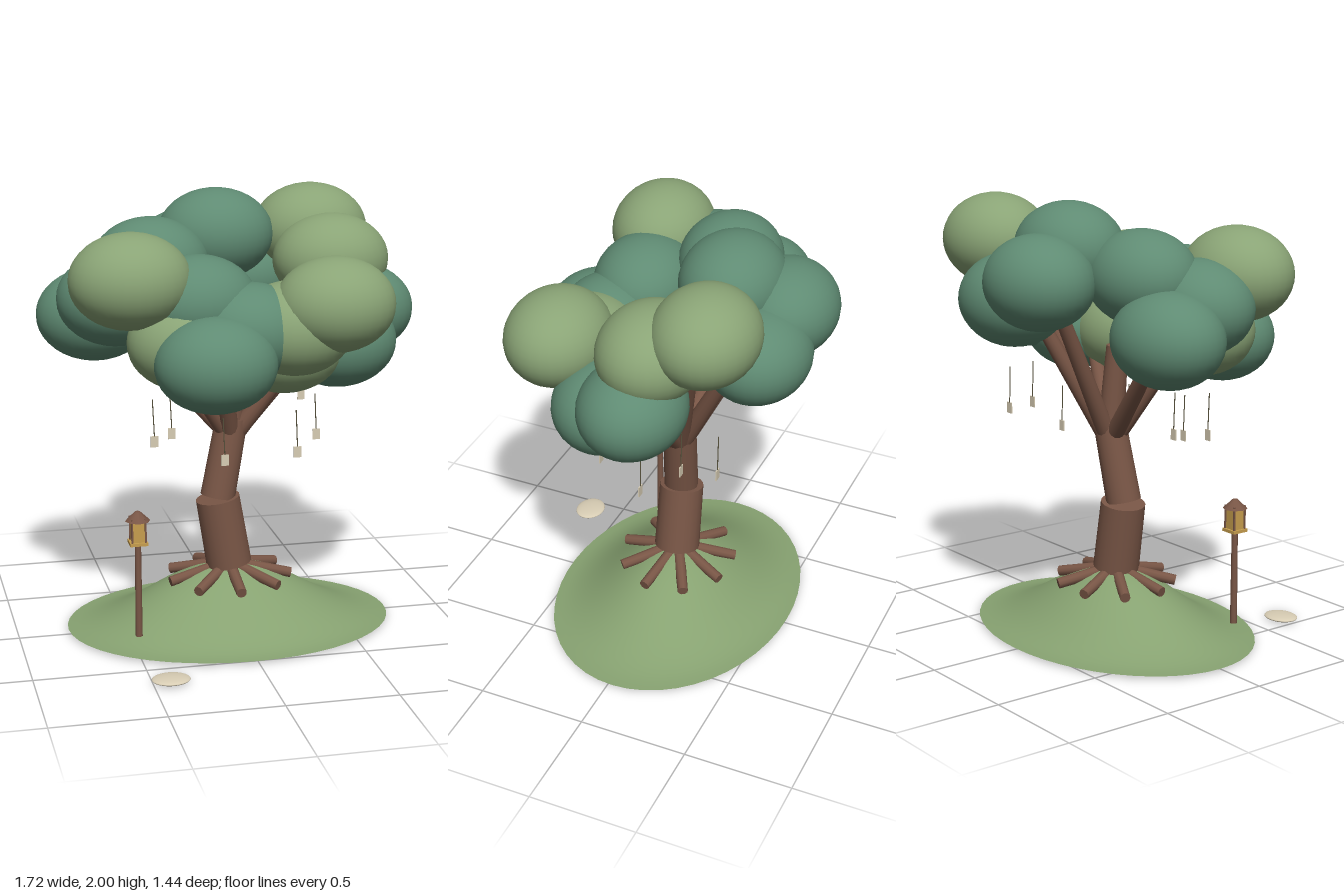
import * as THREE from 'three';

const material = (name, color, side = THREE.FrontSide) => {
  const m = new THREE.MeshStandardMaterial({ color, side });
  m.name = name;
  return m;
};

export function createModel() {
  const bark = material('bark', 0x795646);
  const lightLeaf = material('light leaf', 0x8aa476);
  const darkLeaf = material('dark leaf', 0x5f8b73);
  const grass = material('grass', 0x87a271, THREE.DoubleSide);
  const paper = material('pale stone and paper', 0xd8cdb4);
  const cord = material('cord', 0x5c5640);
  const gold = material('lantern gold', 0xc79e4e);

  const model = new THREE.Group();
  model.name = 'tree on a mound';
  const group = (name) => {
    const g = new THREE.Group();
    g.name = name;
    model.add(g);
    return g;
  };
  const add = (parent, name, geometry, mat, position = [0, 0, 0]) => {
    const mesh = new THREE.Mesh(geometry, mat);
    mesh.name = name;
    mesh.position.set(...position);
    parent.add(mesh);
    return mesh;
  };

  // Tapered cylinder between two points
  const limb = (parent, name, from, to, r0, r1, sides = 14) => {
    const a = new THREE.Vector3(...from), b = new THREE.Vector3(...to);
    const dir = b.clone().sub(a);
    const mesh = add(parent, name, new THREE.CylinderGeometry(r1, r0, dir.length(), sides), bark);
    mesh.position.copy(a).add(b).multiplyScalar(0.5);
    mesh.quaternion.setFromUnitVectors(new THREE.Vector3(0, 1, 0), dir.normalize());
    return mesh;
  };

  // Mound: open bell-shaped shell, oval in plan
  const profile = [];
  for (let i = 0; i <= 16; i++) {
    const r = 1 - i / 16;
    profile.push(new THREE.Vector2(r, 0.28 * (0.5 + 0.5 * Math.cos(Math.PI * r))));
  }
  const mound = add(model, 'mound', new THREE.LatheGeometry(profile, 48), grass, [-0.015, 0.015, -0.025]);
  mound.scale.set(0.755, 1, 0.56);

  // Trunk in leaning sections
  const trunk = group('trunk');
  limb(trunk, 'lowerTrunk', [-0.015, 0.29, -0.015], [-0.068, 0.608, -0.015], 0.106, 0.102, 20);
  limb(trunk, 'middleTrunk', [-0.068, 0.615, -0.012], [0.005, 0.98, -0.038], 0.08, 0.074, 20);
  limb(trunk, 'upperTrunk', [0, 0.93, -0.035], [-0.025, 1.33, -0.015], 0.06, 0.05, 16);

  // Nine roots fanned around the base
  const roots = group('roots');
  for (let i = 0; i < 9; i++) {
    const a = (i / 9) * Math.PI * 2;
    limb(roots, 'root', [-0.015 + 0.02 * Math.sin(a), 0.285, -0.02 + 0.02 * Math.cos(a)],
      [-0.015 + 0.29 * Math.sin(a), 0.23, -0.02 + 0.27 * Math.cos(a)], 0.028, 0.024, 10);
  }

  // Branches spreading into the crown
  const branches = group('branches');
  [
    [0.45, 1.38, -0.05], [0.33, 1.36, 0.1], [-0.1, 1.38, 0.2], [-0.46, 1.38, -0.14],
    [-0.34, 1.4, 0.12], [0.12, 1.46, -0.34], [-0.08, 1.5, -0.36], [0.3, 1.55, -0.22],
  ].forEach(([x, y, z]) => {
    const l = Math.hypot(x, z);
    limb(branches, 'branch', [0.03 * x / l, 0.92, -0.03 + 0.03 * z / l], [x, y, z], 0.042, 0.032);
  });

  // Crown of flattened foliage balls
  const crown = group('crown');
  const ball = new THREE.SphereGeometry(1, 32, 20);
  const foliage = (name, mat, centres) => centres.forEach((c) => {
    add(crown, name, ball, mat, c).scale.set(0.267, 0.21, 0.233);
  });
  foliage('lightFoliage', lightLeaf, [
    [0.37, 1.57, 0.372], [-0.51, 1.69, 0.27], [0.445, 1.79, -0.345], [0.485, 1.68, -0.12],
    [0.2, 1.46, 0.31], [0.19, 1.36, 0.2], [-0.26, 1.41, 0.27],
  ]);
  foliage('darkFoliage', darkLeaf, [
    [-0.177, 1.35, 0.46], [0.593, 1.455, -0.08], [0.46, 1.35, 0.105], [-0.35, 1.69, -0.13],
    [-0.02, 1.79, -0.275], [-0.095, 1.67, -0.49], [0.145, 1.565, -0.46], [-0.595, 1.46, -0.185],
    [-0.53, 1.57, 0.03], [-0.21, 1.575, 0.225], [0, 1.46, 0.31],
  ]);

  // Paper tags on cords: x, bottom y, z
  const tags = group('hangingTags');
  [
    [-0.4, 0.93, 0.205], [-0.3, 0.93, 0.09], [-0.105, 0.855, 0.307], [0.24, 0.855, 0.25],
    [0.4, 0.855, -0.02], [0.335, 1.0, -0.36], [0.375, 1.0, -0.205],
  ].forEach(([x, y, z]) => {
    add(tags, 'tag', new THREE.BoxGeometry(0.034, 0.05, 0.005), paper, [x, y + 0.025, z]);
    const string = add(tags, 'string', new THREE.CylinderGeometry(0.0025, 0.0025, 0.17, 6), cord, [x - 0.004, y + 0.133, z]);
    string.rotation.z = 0.045;
  });

  // Lantern on a post
  const lantern = group('lantern');
  lantern.position.set(-0.495, 0, 0.29);
  add(lantern, 'post', new THREE.CylinderGeometry(0.014, 0.016, 0.435, 10), bark, [0, 0.3, 0]);
  add(lantern, 'lanternBase', new THREE.BoxGeometry(0.08, 0.014, 0.08), gold, [0, 0.523, 0]);
  add(lantern, 'lanternLight', new THREE.BoxGeometry(0.058, 0.11, 0.058), gold, [0, 0.583, 0]);
  for (const sx of [-1, 1]) for (const sz of [-1, 1]) {
    add(lantern, 'lanternCorner', new THREE.BoxGeometry(0.008, 0.11, 0.008), bark, [sx * 0.03, 0.583, sz * 0.03]);
  }
  add(lantern, 'lanternRoof', new THREE.CylinderGeometry(0.012, 0.056, 0.042, 8), bark, [0, 0.645, 0]);

  // Flat stepping stone
  add(model, 'steppingStone', ball, paper, [-0.42, 0.016, 0.65]).scale.set(0.085, 0.014, 0.07);

  return model;
}
